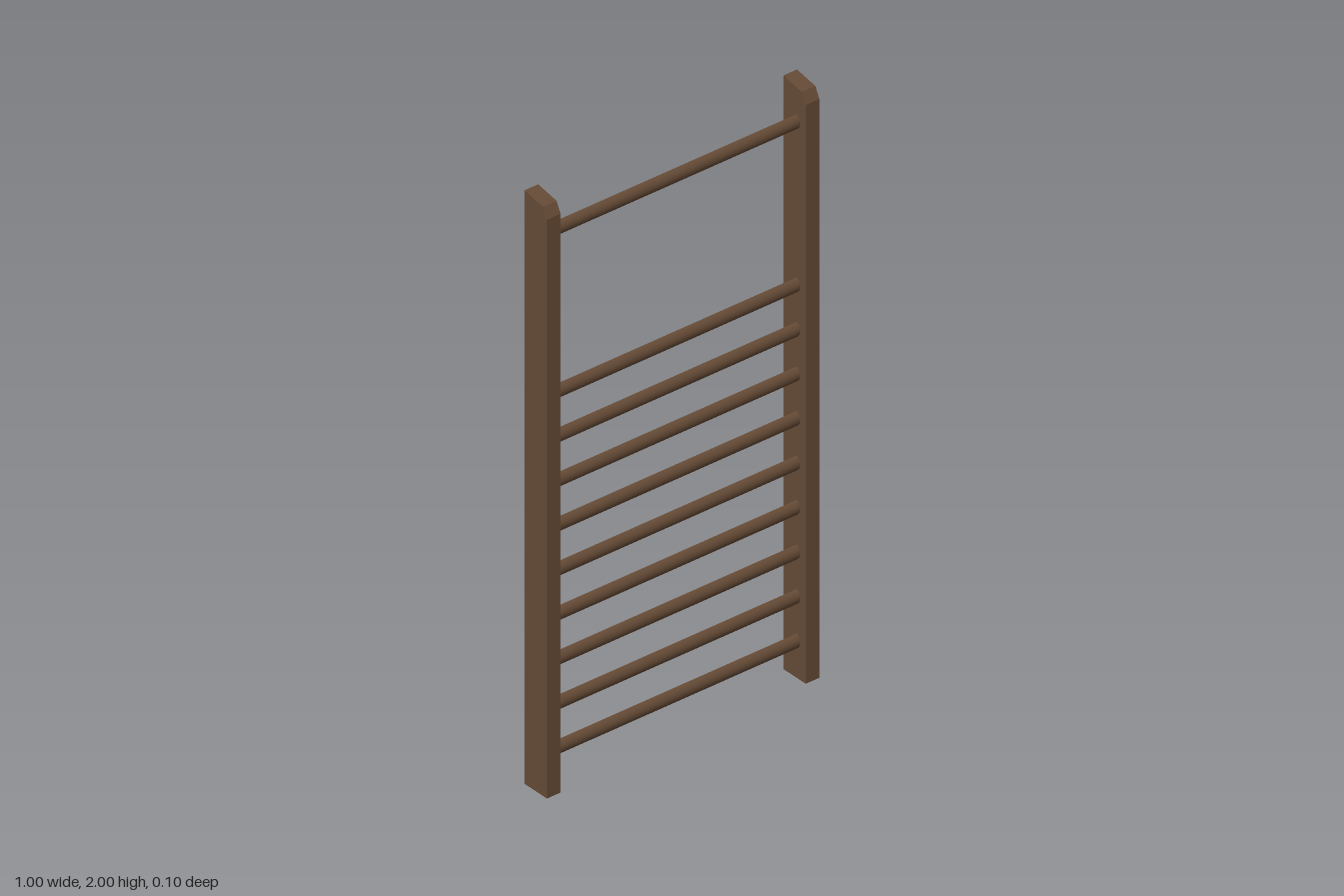
import * as THREE from 'three';

// Side outline of a rail as [z, y], from the back of the top down to the front foot
const PROFILE = [[-0.05, 2], [0.032, 1.985], [0.05, 1.95], [0.05, 0]];
const RAIL_WIDTH = 0.05;

// Front face and sloped, chamfered top as one folded strip
function railFrontGeometry() {
  const strip = new THREE.PlaneGeometry(RAIL_WIDTH, 1, 1, PROFILE.length - 1);
  const pos = strip.attributes.position;
  for (let i = 0; i < pos.count; i++) {
    const [z, y] = PROFILE[Math.floor(i / 2)];
    pos.setXYZ(i, pos.getX(i), y, z);
  }
  const flat = strip.toNonIndexed();
  flat.computeVertexNormals();
  return flat;
}

// Flat side panel, facing +x
function railSideGeometry() {
  const shape = new THREE.Shape(PROFILE.map(([z, y]) => new THREE.Vector2(-z, y)));
  shape.lineTo(0.05, 0);
  return new THREE.ShapeGeometry(shape).rotateY(Math.PI / 2);
}

export function createModel() {
  const model = new THREE.Group();
  model.name = 'wallBars';

  const wood = new THREE.MeshStandardMaterial({ color: 0x664b36, side: THREE.DoubleSide });
  wood.name = 'brown wood';

  const add = (parent, name, geometry, x, y = 0, z = 0) => {
    const mesh = new THREE.Mesh(geometry, wood);
    mesh.name = name;
    mesh.position.set(x, y, z);
    parent.add(mesh);
  };

  // Upright rails, open towards the wall; the left one is also open on its outer side
  const frontGeo = railFrontGeometry();
  const sideGeo = railSideGeometry();
  for (const [name, side] of [['leftRail', 1], ['rightRail', -1]]) {
    const rail = new THREE.Group();
    rail.name = name;
    add(rail, 'railFront', frontGeo, side * 0.475);
    add(rail, 'railInnerSide', sideGeo, side * 0.45);
    if (side < 0) add(rail, 'railOuterSide', sideGeo, side * 0.5);
    model.add(rail);
  }

  // Rungs: shallow curved shells bulging to the front
  const radius = 0.0283;
  const halfAngle = Math.asin(0.025 / radius);
  const rungGeo = new THREE.CylinderGeometry(
    radius, radius, 0.912, 8, 1, true, -halfAngle, 2 * halfAngle
  ).rotateZ(Math.PI / 2);
  const heights = Array.from({ length: 9 }, (_, i) => 0.125 + i * 0.15);
  heights.push(1.875);
  for (const y of heights) add(model, 'rung', rungGeo, 0, y, 0.025 - radius);

  return model;
}
